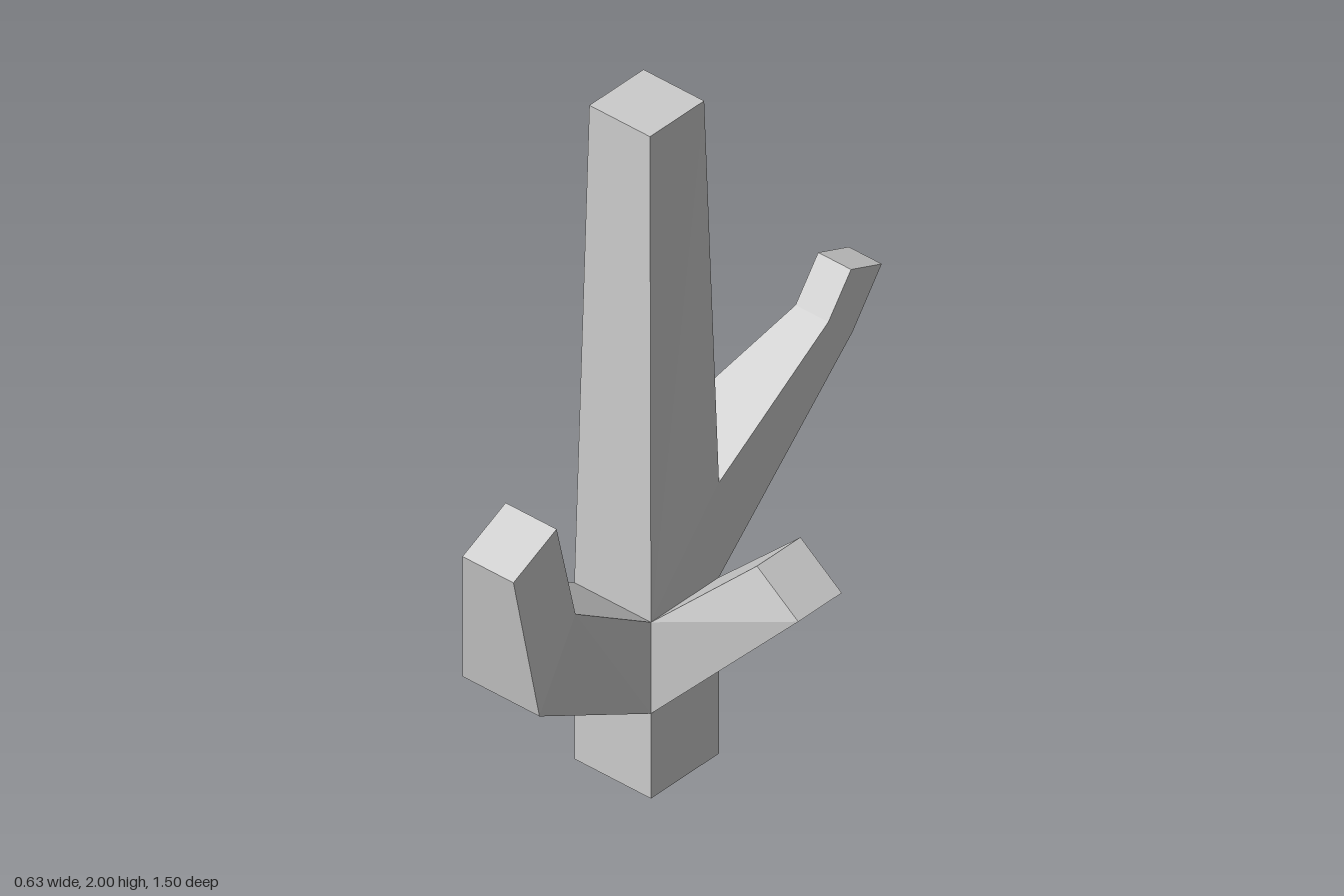
import * as THREE from 'three';

const material = new THREE.MeshStandardMaterial({ color: 0xcccccc, flatShading: true });

// Skins four-cornered rings, listed root to tip and counter-clockwise seen from the tip.
// skip holds 'segment:side' keys of faces left open where a branch grows out.
function loft(name, rings, { skip = [], capRoot = false } = {}) {
  const pos = [];
  const quad = (a, b, c, d) => [a, b, c, a, c, d].forEach((p) => pos.push(...p));
  for (let s = 0; s < rings.length - 1; s++) {
    const lo = rings[s], hi = rings[s + 1];
    for (let i = 0; i < 4; i++) {
      if (skip.includes(`${s}:${i}`)) continue;
      const j = (i + 1) % 4;
      quad(lo[i], lo[j], hi[j], hi[i]);
    }
  }
  quad(...rings[rings.length - 1]);
  if (capRoot) quad(...[...rings[0]].reverse());
  const geometry = new THREE.BufferGeometry();
  geometry.setAttribute('position', new THREE.Float32BufferAttribute(pos, 3));
  geometry.computeVertexNormals();
  const mesh = new THREE.Mesh(geometry, material);
  mesh.name = name;
  return mesh;
}

// Rings for each growth direction; front and back corners may differ in height.
const upRing = (x0, x1, z0, z1, yFront, yBack = yFront) =>
  [[x0, yFront, z1], [x1, yFront, z1], [x1, yBack, z0], [x0, yBack, z0]];
// lower and upper are [y, z] of the ring's two cross edges
const frontRing = (x0, x1, [yl, zl], [yu, zu]) =>
  [[x0, yl, zl], [x1, yl, zl], [x1, yu, zu], [x0, yu, zu]];
const backRing = (x0, x1, lower, upper) => frontRing(x1, x0, lower, upper);
// lower and upper are [x, y]
const sideRing = (z0, z1, [xl, yl], [xu, yu]) =>
  [[xl, yl, z1], [xl, yl, z0], [xu, yu, z0], [xu, yu, z1]];

export function createModel() {
  const group = new THREE.Group();
  group.name = 'branchingTrunk';
  const X0 = -0.317, X1 = -0.063, Z0 = -0.14, Z1 = 0.115;
  const Y1 = 0.26, Y2 = 0.54, Y3 = 0.83;

  // Trunk: straight at the foot, tapering above the branches
  group.add(loft('trunk', [
    upRing(X0, X1, Z0, Z1, 0),
    upRing(X0, X1, Z0, Z1, Y1),
    upRing(X0, X1, Z0, Z1, Y2),
    upRing(X0, X1, Z0, Z1, Y2, Y3),
    upRing(-0.291, -0.09, -0.115, 0.088, 2),
  ], { skip: ['1:0', '1:1', '2:0', '2:2'], capRoot: true }));

  // Thick front branch with an upturned end
  group.add(loft('frontBranch', [
    frontRing(X0, X1, [Y1, Z1], [Y2, Z1]),
    frontRing(-0.193, 0.063, [0.615, 0.675], [0.855, 0.54]),
    frontRing(-0.126, 0.043, [1.055, 0.75], [1.132, 0.588]),
  ]));

  // Slender back branch with a steeper tip
  group.add(loft('backBranch', [
    backRing(X0, X1, [Y2, Z0], [Y3, Z0]),
    backRing(-0.172, -0.063, [1.02, -0.64], [1.1, -0.55]),
    backRing(-0.172, -0.063, [1.17, -0.75], [1.215, -0.635]),
  ]));

  // Short side branch
  group.add(loft('sideBranch', [
    sideRing(Z0, Z1, [X1, Y1], [X1, Y2]),
    sideRing(-0.173, -0.01, [0.315, 0.655], [0.178, 0.76]),
  ]));

  return group;
}
